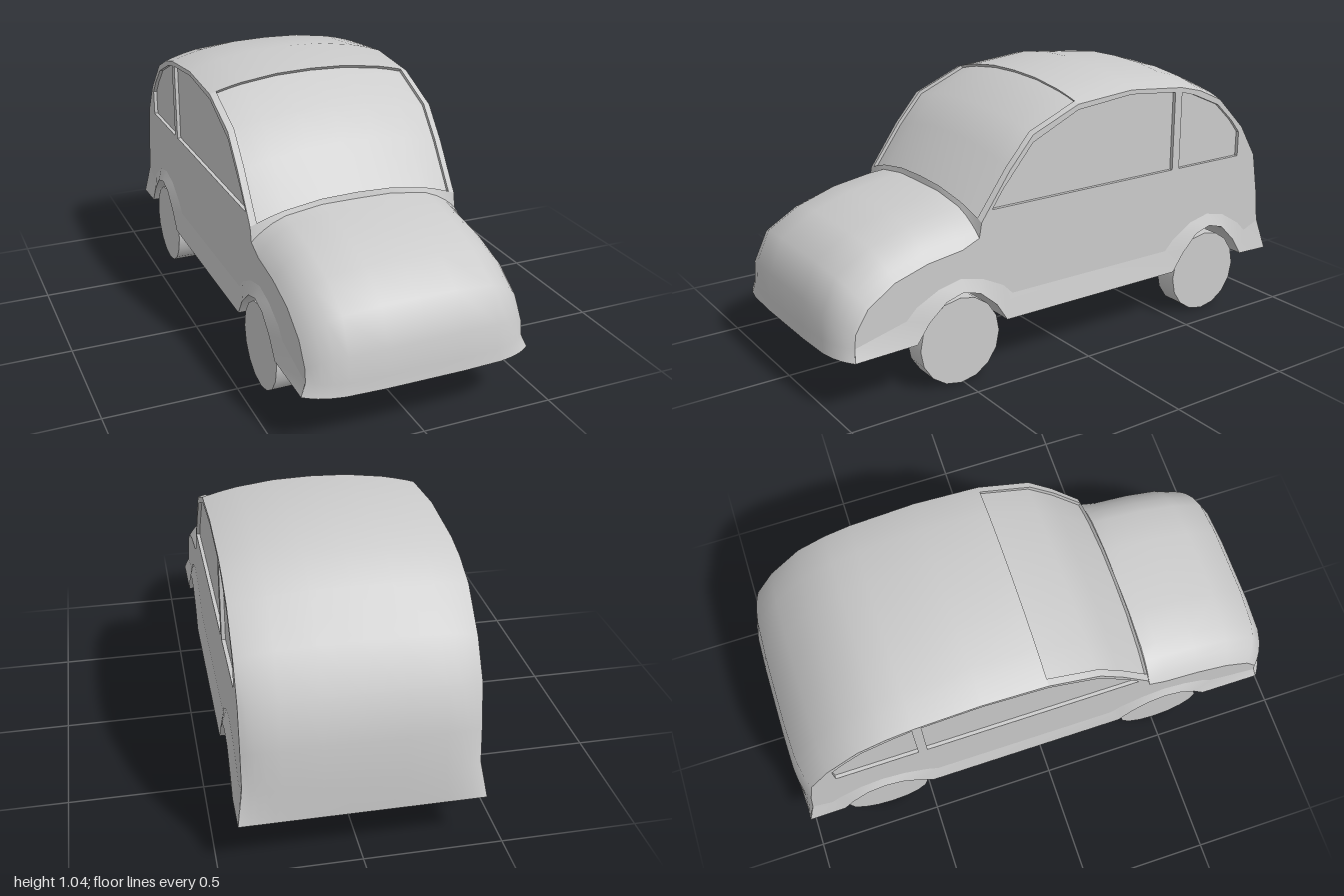
import * as THREE from 'three';
import { toCreasedNormals } from 'three/addons/utils/BufferGeometryUtils.js';

const W = 0.41;      // half width of the body
const FLARE = 0.43;  // half width at the sill lip
const GLASS_X = 0.385;

// Long profile: [centre z, centre y, edge z, edge y, roundness across x]
const PROFILE = [
  [1.0, 0.205, 0.94, 0.205, 6], [0.995, 0.25, 0.93, 0.25, 6], [0.99, 0.35, 0.925, 0.3, 6],
  [0.935, 0.48, 0.875, 0.38, 5.5], [0.8, 0.56, 0.77, 0.45, 5], [0.65, 0.61, 0.64, 0.49, 5],
  [0.5, 0.635, 0.5, 0.51, 5], [0.435, 0.645, 0.43, 0.54, 4],
  [0.43, 0.668, 0.42, 0.595, 2.5], [0.3, 0.825, 0.3, 0.765, 2.3], [0.2, 0.93, 0.2, 0.88, 2.3],
  [0, 1.018, 0, 0.963, 2.3], [-0.25, 1.045, -0.25, 0.983, 2.4], [-0.5, 1.02, -0.5, 0.96, 2.5],
  [-0.6, 0.99, -0.6, 0.935, 2.8], [-0.73, 0.925, -0.71, 0.885, 3], [-0.85, 0.785, -0.84, 0.755, 4],
  [-0.955, 0.65, -0.92, 0.625, 5], [-0.987, 0.48, -0.95, 0.46, 6], [-0.998, 0.33, -0.965, 0.33, 6],
  [-1.0, 0.205, -1.0, 0.205, 6],
];
const LAST = PROFILE.length - 1;
const COWL = 8, HEADER = 11; // profile rows that bound the windscreen

// Lower outline of the side and the top of the flared lip, [z, y, lip z, lip y]
const arch = (zc, top, lip) => [
  [0.19, 0.21, 0.22, 0.3], [0.14, 0.28, 0.18, 0.34], [0.07, top - 0.02, 0.09, lip - 0.02],
  [0, top, 0, lip],
  [-0.07, top - 0.02, -0.09, lip - 0.02], [-0.14, 0.28, -0.18, 0.34], [-0.185, 0.21, -0.22, 0.3],
].map(([a, y, b, ly]) => [zc + a, y, zc + b, ly]);
const SILL = [
  [0.94, 0.205, 0.93, 0.25], ...arch(0.51, 0.36, 0.405),
  ...arch(-0.67, 0.37, 0.415), [-1, 0.205, -0.965, 0.33],
];

const DOOR_WINDOW = [[0.375, 0.635], [0.33, 0.7], [0.2, 0.852], [0, 0.942], [-0.25, 0.966],
  [-0.47, 0.945], [-0.47, 0.635]];
const REAR_WINDOW = [[-0.505, 0.635], [-0.505, 0.94], [-0.57, 0.922], [-0.7, 0.865],
  [-0.78, 0.79], [-0.825, 0.735], [-0.825, 0.635]];

const half = [0.14, 0.28, 0.33, 0.365, GLASS_X, 0.4, W];
const ALL_X = [...half.map((x) => -x).reverse(), 0, ...half];
const GLASS_XS = ALL_X.filter((x) => Math.abs(x) <= GLASS_X);

const material = new THREE.MeshStandardMaterial({ color: 0xcccccc, side: THREE.DoubleSide });

function skin(row, x) {
  const [cz, cy, ez, ey, power] = PROFILE[row];
  const k = Math.pow(Math.abs(x) / W, power);
  const spread = row === 0 || row === LAST ? FLARE / W : 1;
  return [x * spread, cy + (ey - cy) * k, cz + (ez - cz) * k];
}

const strip = (from, to, xs) => {
  const rows = [];
  for (let i = from; i <= to; i++) rows.push(xs.map((x) => skin(i, x)));
  return rows;
};

// Surface through rows of points
function grid(rows, crease = 0.8) {
  const n = rows[0].length, index = [];
  for (let i = 0; i < rows.length - 1; i++) {
    for (let j = 0; j < n - 1; j++) {
      const a = i * n + j, c = a + n;
      index.push(a, a + 1, c, a + 1, c + 1, c);
    }
  }
  const geometry = new THREE.BufferGeometry();
  geometry.setAttribute('position', new THREE.Float32BufferAttribute(rows.flat(2), 3));
  geometry.setIndex(index);
  geometry.computeVertexNormals();
  return toCreasedNormals(geometry, crease);
}

// [z, y] outlines are drawn with -z along the shape's x, then turned to face +x
const sidePoints = (pts) => pts.map(([z, y]) => new THREE.Vector2(-z, y));
const toSide = (geometry, x) => geometry.rotateY(Math.PI / 2).translate(x, 0, 0);

export function createModel() {
  const car = new THREE.Group();
  car.name = 'car';
  const add = (name, geometry, parent = car) => {
    const mesh = new THREE.Mesh(geometry, material);
    mesh.name = name;
    parent.add(mesh);
    return mesh;
  };

  // Upper skin
  add('hood', grid(strip(0, COWL, ALL_X)));
  add('roofAndTail', grid(strip(HEADER, LAST, ALL_X)));

  // Windscreen, set back inside its frame
  const sink = ([x, y, z]) => [x, y - 0.011, z - 0.009];
  const opening = strip(COWL, HEADER, GLASS_XS);
  add('windscreen', grid(opening.map((row) => row.map(sink))));
  const rim = [
    ...opening[0],
    ...opening.slice(1).map((row) => row[row.length - 1]),
    ...[...opening[opening.length - 1]].reverse().slice(1),
    ...opening.slice(0, -1).reverse().map((row) => row[0]),
  ];
  add('windscreenRim', grid([rim, rim.map(sink)]));

  // Sides, mirrored: pillar, panel with window openings, glass and flared lip
  for (const [label, sign] of [['left', 1], ['right', -1]]) {
    const side = new THREE.Group();
    side.name = `${label}Side`;
    side.scale.x = sign;
    car.add(side);

    add('windscreenPillar', grid(strip(COWL, HEADER, [GLASS_X, 0.4, W])), side);

    const outline = [
      ...PROFILE.map(([, , z, y]) => [z, y]),
      ...SILL.slice(1, -1).reverse().map(([z, y]) => [z, y]),
    ];
    const panel = new THREE.Shape(sidePoints(outline));
    for (const w of [DOOR_WINDOW, REAR_WINDOW]) panel.holes.push(new THREE.Path(sidePoints(w)));
    const panelGeometry = new THREE.ExtrudeGeometry(panel, { depth: 0.02, bevelEnabled: false });
    add('sidePanel', toSide(panelGeometry, W - 0.02), side);

    for (const [name, w] of [['doorWindow', DOOR_WINDOW], ['rearSideWindow', REAR_WINDOW]]) {
      add(name, toSide(new THREE.ShapeGeometry(new THREE.Shape(sidePoints(w))), W - 0.014), side);
    }

    add('flaredSill', grid([
      SILL.map(([z, y]) => [FLARE, y, z]),
      SILL.map(([, , z, y]) => [W + 0.001, y, z]),
    ]), side);
  }

  // Underside with full-width wheel arches, and the floor behind the curved nose
  add('underside', grid([...SILL].reverse().map(([z, y]) => [[-FLARE, y, z], [FLARE, y, z]]), 0.6));
  const nose = ALL_X.map((x) => skin(0, x));
  add('noseFloor', grid([nose.map(([x, y]) => [x, y, 0.94]), nose]));

  // Wheels
  for (const [end, z] of [['front', 0.51], ['rear', -0.67]]) {
    for (const [label, x] of [['Left', 0.358], ['Right', -0.367]]) {
      const tyre = new THREE.CylinderGeometry(0.165, 0.165, 0.093, 16).rotateZ(Math.PI / 2);
      add(`${end}${label}Wheel`, tyre).position.set(x, 0.165, z);
    }
  }
  return car;
}
